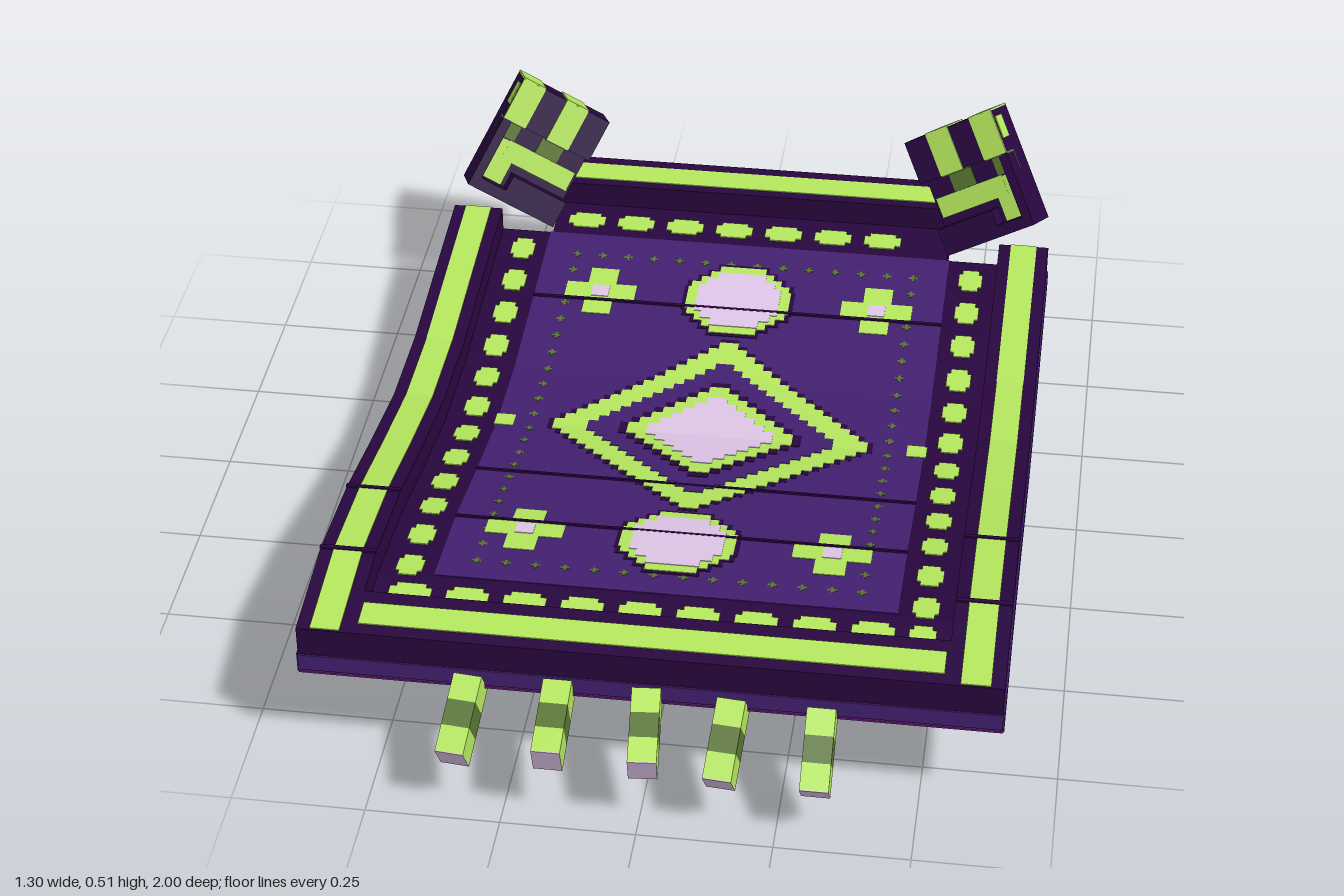
import * as THREE from 'three';
import { mergeGeometries } from 'three/addons/utils/BufferGeometryUtils.js';

const mat = (name, color) => {
  const m = new THREE.MeshStandardMaterial({ color });
  m.name = name;
  return m;
};

// Height of the rug's rim along its length: [z, y], straight between the creases
const WAVE = [[-0.88, 0.25], [-0.67, 0.235], [-0.45, 0.216], [-0.22, 0.195], [-0.01, 0.201],
  [0.2, 0.24], [0.41, 0.284], [0.63, 0.308], [0.845, 0.288]];
function wave(z) {
  let i = 0;
  while (i < WAVE.length - 2 && z > WAVE[i + 1][0]) i++;
  const [a, b] = [WAVE[i], WAVE[i + 1]];
  return a[1] + (b[1] - a[1]) * (z - a[0]) / (b[0] - a[0]);
}

// Box draped on the wave, with a cross-section at every crease
function slab(x0, x1, z0, z1, h0, h1) {
  const cuts = [z0, ...WAVE.map(p => p[0]).filter(z => z > z0 + 1e-4 && z < z1 - 1e-4), z1];
  const n = cuts.length - 1;
  const geo = new THREE.BoxGeometry(x1 - x0, 1, 1, 1, 1, n);
  const p = geo.attributes.position;
  for (let i = 0; i < p.count; i++) {
    const z = cuts[Math.round((p.getZ(i) + 0.5) * n)];
    p.setXYZ(i, p.getX(i) + (x0 + x1) / 2, wave(z) + (p.getY(i) > 0 ? h1 : h0), z);
  }
  const flat = geo.toNonIndexed();
  flat.computeVertexNormals();
  return flat;
}

const BASE_TOP = -0.052, BASE_BOTTOM = -0.1;

export function createModel() {
  const root = new THREE.Group();
  root.name = 'rug';
  const dark = mat('dark purple', 0x28063f);
  const purple = mat('purple', 0x432070);
  const green = mat('light green', 0xb6e85e);
  const olive = mat('olive green', 0x587430);
  const lavender = mat('lavender', 0xe0c6e8);
  const deep = mat('deep purple', 0x1d0629);
  const dimLavender = mat('dim lavender', 0x7e6c86);
  const magenta = mat('magenta', 0x6c1c80);

  const add = (parent, name, geos, material) => {
    const mesh = new THREE.Mesh(Array.isArray(geos) ? mergeGeometries(geos) : geos, material);
    mesh.name = name;
    parent.add(mesh);
    return mesh;
  };

  // Woven base and raised rim
  add(root, 'base', [
    slab(-0.645, 0.645, -0.67, 0.845, BASE_BOTTOM, BASE_TOP),
    slab(-0.43, 0.43, -0.88, -0.67, BASE_BOTTOM, BASE_TOP)], dark);
  add(root, 'rim', [
    slab(-0.645, -0.54, -0.67, 0.845, BASE_TOP, 0),
    slab(0.54, 0.645, -0.67, 0.845, BASE_TOP, 0),
    slab(-0.54, 0.54, 0.735, 0.845, BASE_TOP, 0),
    slab(-0.43, 0.43, -0.88, -0.78, BASE_TOP, 0)], dark);
  add(root, 'rimStripe', [
    slab(-0.62, -0.565, -0.67, 0.842, 0, 0.002),
    slab(0.565, 0.62, -0.67, 0.842, 0, 0.002),
    slab(-0.535, 0.535, 0.765, 0.82, 0, 0.002),
    slab(-0.40, 0.40, -0.855, -0.8, 0, 0.002)], green);
  add(root, 'rimCrease', [0.41, 0.63].flatMap(z => [-1, 1].map(s =>
    slab(s * 0.593 - 0.053, s * 0.593 + 0.053, z - 0.005, z + 0.005, 0, 0.004))), dark);

  // Bands around the lower edge
  for (const [name, b0, b1, m] of [['edgeBand', -0.094, -0.06, purple], ['edgeHem', -0.101, -0.097, magenta]]) {
    add(root, name, [
      slab(-0.648, -0.645, -0.67, 0.845, b0, b1), slab(0.645, 0.648, -0.67, 0.845, b0, b1),
      slab(-0.645, 0.645, 0.845, 0.848, b0, b1), slab(-0.43, 0.43, -0.883, -0.88, b0, b1)], m);
  }

  // Pattern woven through both faces; dir is +1 for the top, -1 for the duller underside
  function pattern(dir) {
    const g = new THREE.Group();
    g.name = dir > 0 ? 'topPattern' : 'undersidePattern';
    root.add(g);
    const [ground, edge, leaf, pale] = dir > 0
      ? [purple, dark, green, lavender] : [deep, deep, olive, dimLavender];
    const base = dir > 0 ? BASE_TOP : BASE_BOTTOM;
    const plate = (x0, x1, z0, z1, layer) => {
      const h = base + dir * 0.0012 * layer;
      return slab(x0, x1, z0, z1, Math.min(base, h), Math.max(base, h));
    };
    // Stepped diamond made of rows; cut below 1 trims its corners towards an octagon
    const diamond = (cx, cz, r, layer, cut = 1) => {
      const rows = [], n = Math.max(1, Math.round(r / 0.02)), full = r / cut;
      for (let i = -n; i < n; i++) {
        const w = Math.min(r, full - (Math.abs(i + 0.5) - 0.5) * r / n);
        rows.push(plate(cx - w, cx + w, cz + i * r / n, cz + (i + 1) * r / n, layer));
      }
      return rows;
    };
    if (dir > 0) add(g, 'field', plate(-0.435, 0.435, -0.67, 0.62, 1), ground);
    else {
      add(g, 'undersideGround', [plate(-0.645, 0.645, -0.67, 0.845, 1), plate(-0.43, 0.43, -0.88, -0.67, 1)], ground);
      add(g, 'undersideBorder', [plate(-0.64, -0.56, -0.67, 0.84, 2), plate(0.56, 0.64, -0.67, 0.84, 2),
        plate(-0.56, 0.56, 0.76, 0.84, 2), plate(-0.42, 0.42, -0.87, -0.8, 2)], leaf);
    }

    // Border dashes with clipped corners
    const dashes = [];
    const dash = (x, z, w, d) => dashes.push(
      plate(x - w, x + w, z - d * 0.6, z + d * 0.6, 2),
      plate(x - w * 0.7, x + w * 0.7, z - d, z - d * 0.6, 2),
      plate(x - w * 0.7, x + w * 0.7, z + d * 0.6, z + d, 2));
    for (let i = 0; i < 9; i++) dash(-0.47 + i * 0.108, 0.675, 0.04, 0.025);
    for (let i = 0; i < 7; i++) dash(-0.362 + i * 0.108, -0.72, 0.04, 0.025);
    for (let i = 0; i < 12; i++) for (const s of [-1, 1]) dash(s * 0.485, -0.605 + i * 0.109, 0.025, 0.034);
    dash(0.485, 0.675, 0.025, 0.025);
    add(g, 'borderDashes', dashes, leaf);

    // Faint dotted frame
    const dots = [];
    const dot = (x, z) => dots.push(plate(x - 0.009, x + 0.009, z - 0.003, z + 0.003, 1.6),
      plate(x - 0.003, x + 0.003, z - 0.009, z + 0.009, 1.6));
    for (let i = 0; i < 14; i++) { dot(-0.365 + i * 0.056, -0.6); dot(-0.365 + i * 0.056, 0.56); }
    for (let i = 1; i < 21; i++) { dot(-0.365, -0.6 + i * 0.055); dot(0.363, -0.6 + i * 0.055); }
    add(g, 'dottedFrame', dots, olive);

    // Nested diamonds in the centre
    [[0.331, edge], [0.32, leaf], [0.25, ground], [0.185, edge], [0.168, leaf], [0.128, pale]]
      .forEach(([r, m], i) => add(g, 'centreDiamond', diamond(0, -0.02, r, i + 1.5), m));

    // Medallions, crosses and small side marks
    for (const z of [-0.48, 0.435]) {
      add(g, 'medallionEdge', diamond(0, z, 0.118, 2, 0.77), edge);
      add(g, 'medallionRing', diamond(0, z, 0.11, 3, 0.78), leaf);
      add(g, 'medallion', diamond(0, z, 0.088, 4, 0.75), pale);
      for (const x of [-0.295, 0.295]) {
        add(g, 'cross', [plate(x - 0.075, x + 0.075, z - 0.025, z + 0.025, 2),
          plate(x - 0.03, x + 0.03, z - 0.075, z + 0.075, 2)], leaf);
        add(g, 'crossCentre', diamond(x, z, 0.018, 3), pale);
      }
    }
    add(g, 'sideMark', [...diamond(-0.42, -0.02, 0.02, 2), ...diamond(0.42, -0.02, 0.02, 2)], leaf);
    add(g, 'crease', [0.41, 0.2, -0.45].map(z => plate(-0.435, 0.435, z - 0.003, z + 0.003, 4.5)), edge);
  }
  pattern(1);
  pattern(-1);

  const box = (parent, name, w, h, d, x, y, z, m) =>
    add(parent, name, new THREE.BoxGeometry(w, h, d), m).position.set(x, y, z);

  // Banded tassels along both ends, with a plain dark underside
  function tassel(x, y, z, pitch, yaw, dir) {
    const t = new THREE.Group();
    t.name = dir > 0 ? 'frontTassel' : 'backTassel';
    t.position.set(x, y, z);
    t.rotation.set(THREE.MathUtils.degToRad(pitch), (dir > 0 ? 0 : Math.PI) + yaw, 0, 'YXZ');
    [green, olive, green].forEach((m, i) => box(t, 'tasselBand', 0.053, 0.062, 0.05, 0, 0, 0.025 + i * 0.05, m));
    box(t, 'tasselUnderside', 0.053, 0.002, 0.15, 0, -0.032, 0.075, olive);
    box(t, 'tasselTip', 0.053, 0.062, 0.002, 0, 0, 0.151, lavender);
    if (dir < 0) box(t, 'tasselRoot', 0.053, 0.062, 0.002, 0, 0, -0.001, lavender);
    root.add(t);
  }
  const xs = [-0.325, -0.162, 0, 0.158, 0.32];
  const frontPitch = [30, 19, 21, 35, 39], backPitch = [62, 52, 53, 65, 71];
  const yaws = [-0.1, 0, 0.08, -0.09, 0];
  xs.forEach((x, i) => {
    tassel(x, 0.2, 0.845, frontPitch[i], yaws[i], 1);
    tassel(x, 0.155, -0.88, backPitch[i], yaws[i], -1);
  });

  // Turned-up back corners: local y runs up the flap, z out of its face
  for (const s of [-1, 1]) {
    const f = new THREE.Group();
    f.name = s > 0 ? 'leftCornerFlap' : 'rightCornerFlap';
    const mir = (x, y, z) => new THREE.Vector3(-s * x, y, z).normalize();
    const v = mir(0.11, 0.205, -0.115), n = mir(0.28, 0.35, 0.89);
    const u = new THREE.Vector3().crossVectors(v, n).normalize();
    n.crossVectors(u, v);
    f.quaternion.setFromRotationMatrix(new THREE.Matrix4().makeBasis(u, v, n));
    f.position.set(s * 0.48, 0.33, -0.77);
    root.add(f);
    const k = -s; // sign of the inward direction along local x
    box(f, 'flapBase', 0.21, 0.26, 0.055, 0, 0, -0.0225, dark);
    box(f, 'flapRim', 0.21, 0.095, 0.045, 0, 0.0825, 0.0275, dark);
    box(f, 'flapSideRim', 0.02, 0.165, 0.045, k * -0.095, -0.0475, 0.0275, dark);
    box(f, 'flapFoot', 0.13, 0.06, 0.1, k * 0.04, -0.1, 0, dark);
    box(f, 'flapLip', 0.21, 0.025, 0.045, 0, -0.1175, 0.0275, dark);
    // Stripes wrapping the rim's face, top and underside, fading into the recess
    for (const x of [-0.079, 0.026]) {
      box(f, 'flapStripe', 0.053, 0.095, 0.004, k * x, 0.0825, 0.051, green);
      box(f, 'flapTopStripe', 0.053, 0.004, 0.102, k * x, 0.131, 0.001, green);
      box(f, 'flapUnderStripe', 0.053, 0.004, 0.045, k * x, 0.034, 0.0275, olive);
      box(f, 'flapInnerStripe', 0.053, 0.04, 0.004, k * x, 0.013, 0.006, olive);
    }
    // Corner of the border on the lower face, and its echo behind
    box(f, 'flapChevron', 0.05, 0.12, 0.004, k * -0.06, -0.07, 0.006, green);
    box(f, 'flapChevron', 0.16, 0.045, 0.004, k * 0.02, -0.03, 0.0065, green);
    box(f, 'flapSidePatch', 0.004, 0.05, 0.04, k * -0.105, 0.09, 0.02, green);
    box(f, 'flapBackChevron', 0.055, 0.17, 0.004, k * -0.035, -0.045, -0.051, olive);
    box(f, 'flapBackChevron', 0.15, 0.055, 0.004, k * 0.025, 0.02, -0.0515, olive);
    box(f, 'flapBackPatch', 0.045, 0.045, 0.004, k * 0.05, -0.06, -0.051, olive);
  }
  return root;
}
